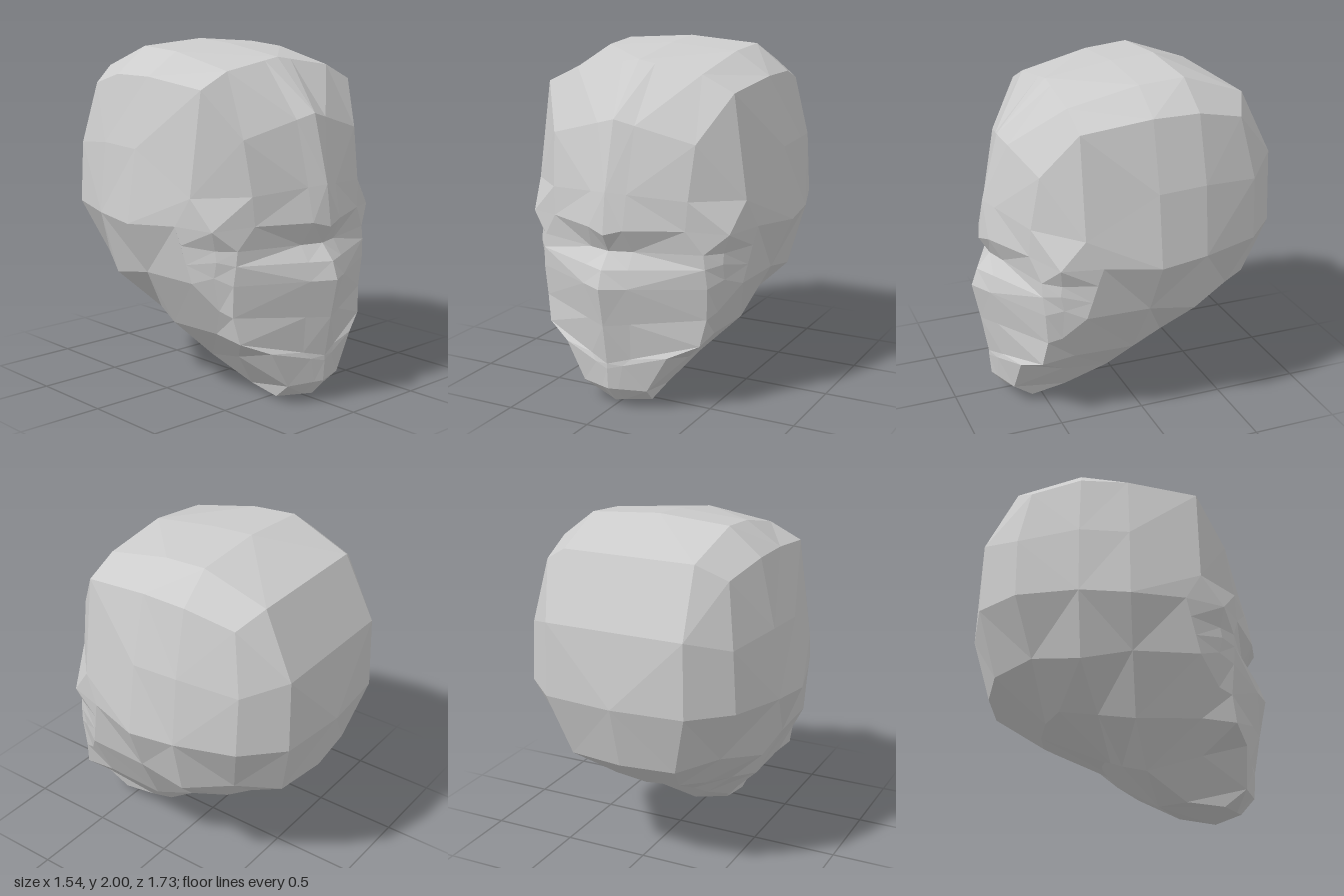
import * as THREE from 'three';

// Shared points where the face, sides and crown meet (left half, x >= 0)
const crownF = [0, 1.92, 0.39], crownFm = [0.39, 1.86, 0.4], templeTop = [0.58, 1.77, 0.4];
const temple = [0.66, 1.2, 0.4], cheekTop = [0.69, 1.04, 0.31], cheek = [0.64, 0.73, 0.39];
const jaw = [0.48, 0.42, 0.41], jawLow = [0.33, 0.26, 0.43], under = [0.16, 0.05, 0.36];
const throat = [0, 0.07, 0.22], chin = [0, 0.005, 0.54], chinSide = [0.17, 0.025, 0.57];

// Cross-sections of the sides and back, from cheek to middle of the back
const side = [
  [templeTop, [0.61, 1.82, 0], [0.61, 1.82, -0.27], [0.55, 1.75, -0.55], [0.39, 1.84, -0.63], [0, 1.84, -0.63]],
  [temple, [0.71, 1.43, 0], [0.7, 1.44, -0.28], [0.61, 1.4, -0.62], [0.41, 1.47, -0.81], [0, 1.47, -0.81]],
  [cheekTop, [0.77, 1.02, 0], [0.74, 1.04, -0.28], [0.63, 1.05, -0.62], [0.42, 1.05, -0.82], [0, 1.05, -0.86]],
  [cheek, [0.65, 0.73, 0.02], [0.64, 0.68, -0.26], [0.5, 0.73, -0.52], [0.32, 0.69, -0.72], [0, 0.69, -0.76]],
  [jaw, [0.48, 0.41, 0.05], [0.41, 0.45, -0.15], [0.34, 0.49, -0.36], [0.2, 0.47, -0.43], [0, 0.46, -0.45]],
  [jawLow, [0.26, 0.19, 0.13], [0.18, 0.24, 0], [0.12, 0.28, -0.06], [0.07, 0.3, -0.09], [0, 0.3, -0.1]],
  [under, throat, throat, throat, throat, throat],
];

// Cross-sections of the crown, from back to front
const crown = [
  [side[0][5], side[0][4], side[0][3]],
  [[0, 2, -0.26], [0.42, 1.97, -0.26], side[0][2]],
  [[0, 1.98, 0], [0.41, 1.95, 0], side[0][1]],
  [crownF, crownFm, templeTop],
];

// Cross-sections of the face, from forehead down under the chin
const face = [
  [crownF, crownFm, templeTop, templeTop],
  [[0, 1.63, 0.68], [0.44, 1.51, 0.58], templeTop, templeTop],
  [[0, 1.25, 0.78], [0.42, 1.21, 0.63], temple, temple],
  [[0, 1.02, 0.81], [0.41, 1.05, 0.64], [0.62, 1.03, 0.53], cheekTop],
  [[0, 0.92, 0.75], [0.5, 0.92, 0.6], [0.58, 0.92, 0.51], [0.673, 0.937, 0.337]],
  [[0, 0.83, 0.83], [0.51, 0.84, 0.6], [0.58, 0.86, 0.52], [0.657, 0.833, 0.363]],
  [[0, 0.73, 0.865], [0.52, 0.73, 0.59], [0.58, 0.77, 0.5], cheek],
  [[0, 0.51, 0.82], [0.51, 0.55, 0.575], [0.54, 0.58, 0.5], [0.56, 0.575, 0.4]],
  [[0, 0.28, 0.78], [0.48, 0.4, 0.6], jaw, jaw],
  [[0, 0.25, 0.78], [0.32, 0.33, 0.68], jawLow, jawLow],
  [[0, 0.13, 0.77], [0.2, 0.12, 0.69], under, under],
  [[0, 0.035, 0.69], chinSide, under, under],
  [chin, chinSide, throat, throat],
  [chin, chin, throat, throat],
];

// Extra column beside the nose; its brow point is raised for the bridge notch
const faceFull = face.map(([a, b, ...rest], i) => {
  const n = a.map((v, k) => v + (b[k] - v) * 0.26);
  if (i === 3) { n[1] += 0.022; n[2] += 0.015; }
  return [a, n, b, ...rest];
});

// Skin a grid of points, mirrored over x, dropping collapsed triangles
function skin(rows) {
  const out = [];
  const v = (p) => new THREE.Vector3(...p);
  const tri = (a, b, c) => {
    const area = v(b).sub(v(a)).cross(v(c).sub(v(a))).length();
    if (area < 1e-6) return;
    out.push(...a, ...b, ...c);
    for (const p of [a, c, b]) out.push(-p[0], p[1], p[2]);
  };
  for (let i = 0; i + 1 < rows.length; i++) {
    for (let j = 0; j + 1 < rows[i].length; j++) {
      const a = rows[i][j], b = rows[i + 1][j], c = rows[i + 1][j + 1], d = rows[i][j + 1];
      if (v(a).distanceTo(v(c)) <= v(b).distanceTo(v(d))) { tri(a, b, c); tri(a, c, d); }
      else { tri(a, b, d); tri(b, c, d); }
    }
  }
  const g = new THREE.BufferGeometry();
  g.setAttribute('position', new THREE.Float32BufferAttribute(out, 3));
  g.computeVertexNormals();
  return g;
}

export function createModel() {
  const group = new THREE.Group();
  group.name = 'head';
  const grey = new THREE.MeshStandardMaterial({ color: 0xcccccc, flatShading: true });
  grey.name = 'lightGrey';
  const parts = { face: faceFull, sidesAndBack: side, crown };
  for (const [name, rows] of Object.entries(parts)) {
    const mesh = new THREE.Mesh(skin(rows), grey);
    mesh.name = name;
    group.add(mesh);
  }
  return group;
}
